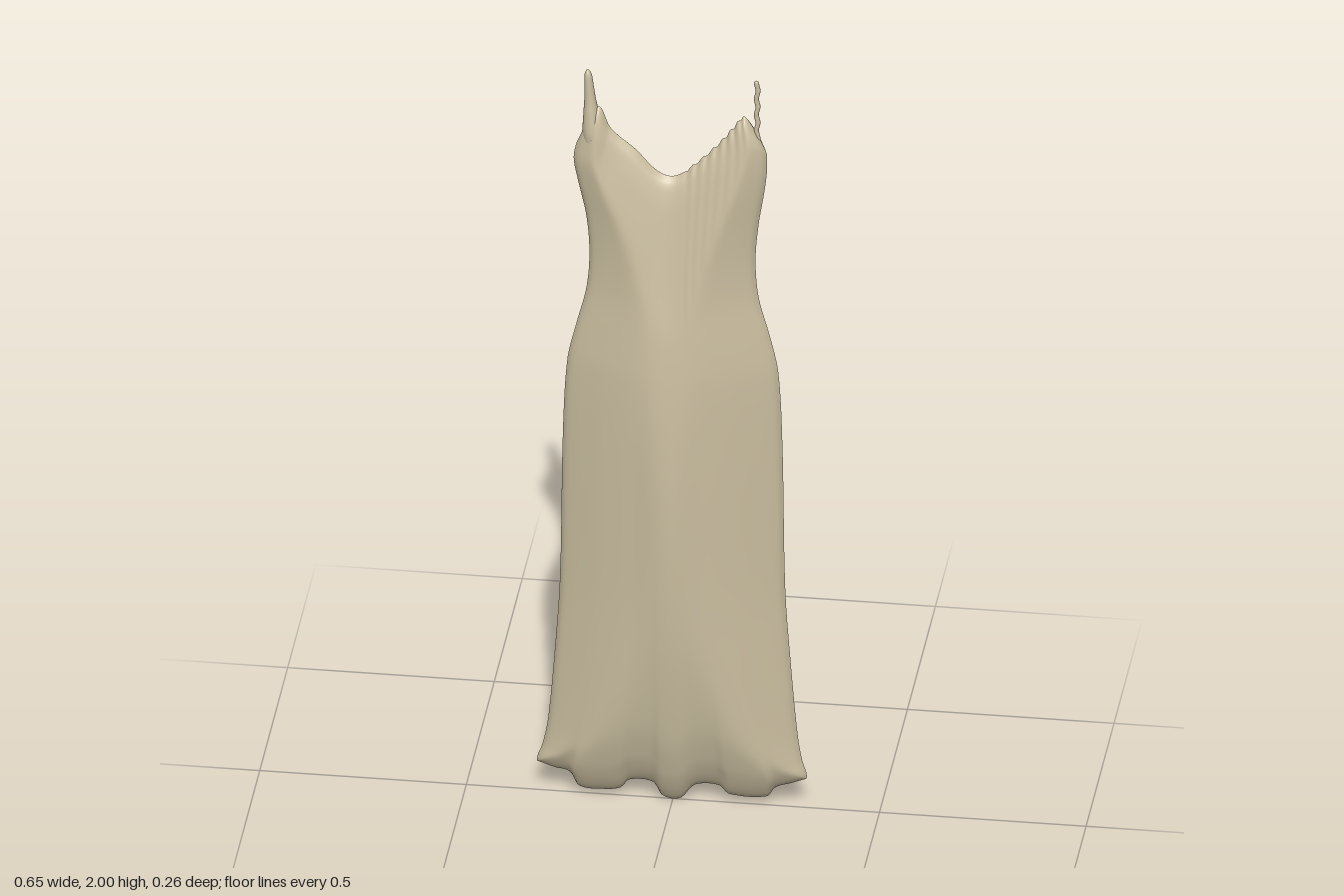
import * as THREE from 'three';
import { mergeVertices } from 'three/addons/utils/BufferGeometryUtils.js';

// Smooth lookup through [position, value] pairs (cubic with local slopes)
function curve(points) {
  const slope = points.map((p, i) => {
    const a = points[Math.max(i - 1, 0)], b = points[Math.min(i + 1, points.length - 1)];
    return (b[1] - a[1]) / (b[0] - a[0]);
  });
  return (t) => {
    const last = points.length - 1;
    if (t <= points[0][0]) return points[0][1];
    if (t >= points[last][0]) return points[last][1];
    let i = 0;
    while (t > points[i + 1][0]) i++;
    const [t0, v0] = points[i], [t1, v1] = points[i + 1];
    const h = t1 - t0, s = (t - t0) / h, s2 = s * s, s3 = s2 * s;
    return v0 * (2 * s3 - 3 * s2 + 1) + v1 * (3 * s2 - 2 * s3)
      + h * slope[i] * (s3 - 2 * s2 + s) + h * slope[i + 1] * (s3 - s2);
  };
}

// Side seams, by height
const rightSeam = curve([[0.05, -0.325], [0.09, -0.328], [0.13, -0.315], [0.2, -0.302], [0.4, -0.285], [0.6, -0.273],
  [1.0, -0.266], [1.2, -0.255], [1.3, -0.233], [1.4, -0.209], [1.5, -0.202], [1.6, -0.21], [1.7, -0.231], [1.76, -0.24], [1.83, -0.225], [1.9, -0.214]]);
const leftSeam = curve([[0.05, 0.318], [0.09, 0.324], [0.13, 0.313], [0.2, 0.302], [0.4, 0.285], [0.6, 0.272],
  [1.0, 0.265], [1.2, 0.255], [1.3, 0.234], [1.4, 0.208], [1.5, 0.2], [1.6, 0.207], [1.7, 0.222], [1.76, 0.228], [1.82, 0.226], [1.9, 0.21]]);
// Hem and neckline heights, across the width from -1 to 1
const hem = curve([[-1, 0.08], [-0.88, 0.066], [-0.76, 0.055], [-0.7, 0.02], [-0.52, 0.014], [-0.38, 0.022], [-0.32, 0.045], [-0.13, 0.042],
  [-0.07, 0.008], [0.07, 0.004], [0.17, 0.042], [0.36, 0.046], [0.43, 0.024], [0.72, 0.024], [0.78, 0.05], [0.9, 0.066], [1, 0.08]]);
const neck = curve([[-1, 1.8], [-0.93, 1.88], [-0.82, 1.9], [-0.68, 1.845], [-0.35, 1.785], [-0.14, 1.735], [0, 1.722],
  [0.14, 1.735], [0.32, 1.775], [0.55, 1.835], [0.75, 1.885], [0.83, 1.9], [0.91, 1.865], [1, 1.8]]);
// Thickness by distance from the seams, the hem and the neckline
const seamDepth = curve([[0, 0], [0.01, 0.014], [0.03, 0.028], [0.06, 0.045], [0.1, 0.066], [0.15, 0.088], [0.2, 0.108], [0.27, 0.142], [0.33, 0.165]]);
const hemDepth = curve([[0, 0], [0.015, 0.014], [0.05, 0.034], [0.1, 0.054], [0.2, 0.08], [0.4, 0.108], [0.6, 0.127], [0.8, 0.143], [1.1, 0.165], [2, 0.2]]);
const neckDepth = curve([[0, 0], [0.015, 0.014], [0.05, 0.026], [0.1, 0.037], [0.28, 0.07], [0.42, 0.097], [0.7, 0.13], [1, 0.16], [2, 0.2]]);

// Soft minimum, so the facets meet in slightly rounded creases
function softMin(values) {
  const low = Math.min(...values);
  if (low < 1e-6) return 0;
  return low * Math.pow(values.reduce((sum, v) => sum + Math.pow(low / v, 12), 0), -1 / 12);
}

// Closed, flattened shell made of rings stacked from hem to neckline
function gownGeometry(rows = 110, sides = 240) {
  const positions = [], index = [];
  for (let i = 0; i <= rows; i++) {
    const v = (1 - Math.cos(Math.PI * i / rows)) / 2;
    for (let j = 0; j < sides; j++) {
      const angle = 2 * Math.PI * j / sides;
      const u = Math.cos(angle);
      // fine scallops along one half of the neckline
      const scallop = u > 0.15 && u < 0.8 ? 0.004 * Math.sin(u * 62) : 0;
      const low = hem(u), high = neck(u) + scallop;
      const y = low + (high - low) * v;
      const xa = rightSeam(y), xb = leftSeam(y);
      const x = xa + (xb - xa) * (u + 1) / 2;
      const depth = softMin([seamDepth(x - xa), seamDepth(xb - x), hemDepth(y - low), neckDepth(high - y)]);
      positions.push(x, y, j < sides / 2 ? depth : -depth);
      if (i < rows) {
        const a = i * sides + j, b = i * sides + (j + 1) % sides;
        index.push(a, a + sides, b, b, a + sides, b + sides);
      }
    }
  }
  let geometry = new THREE.BufferGeometry();
  geometry.setAttribute('position', new THREE.Float32BufferAttribute(positions, 3));
  geometry.setIndex(index);
  geometry = mergeVertices(geometry, 1e-5);
  geometry.computeVertexNormals();
  return geometry;
}

export function createModel() {
  const group = new THREE.Group();
  const fabric = new THREE.MeshStandardMaterial({ color: 0xc9bd9f });
  fabric.name = 'beigeFabric';

  const add = (name, geometry) => {
    const mesh = new THREE.Mesh(geometry, fabric);
    mesh.name = name;
    group.add(mesh);
    return mesh;
  };

  add('gown', gownGeometry());

  // Wide strap tapering up from the right bust
  const profile = [[0, 1.74], [0.018, 1.78], [0.024, 1.83], [0.019, 1.88], [0.014, 1.92], [0.011, 1.96], [0.009, 1.985], [0.005, 1.997], [0, 2]];
  const strap = new THREE.LatheGeometry(
    new THREE.SplineCurve(profile.map(([r, y]) => new THREE.Vector2(r, y))).getPoints(40)
      .map((p) => new THREE.Vector2(Math.max(p.x, 0), p.y)), 20);
  const p = strap.attributes.position;
  for (let i = 0; i < p.count; i++) {
    const t = Math.max(0, (2 - p.getY(i)) / 0.2);
    p.setX(i, p.getX(i) - 0.206 + 0.014 * Math.min(t, 1));
    p.setZ(i, p.getZ(i) * 1.25);
  }
  strap.computeVertexNormals();
  add('rightStrap', strap);

  // Thin, slightly crinkled strap on the left
  const path = [];
  for (let i = 0; i <= 8; i++) path.push(new THREE.Vector3(0.203 + (i % 2 ? 0.003 : -0.001), 1.82 + i * 0.0218, 0));
  add('leftStrap', new THREE.TubeGeometry(new THREE.CatmullRomCurve3(path), 40, 0.006, 10));
  const tip = add('leftStrapTip', new THREE.SphereGeometry(0.006, 10, 8));
  tip.position.copy(path[8]);

  return group;
}
